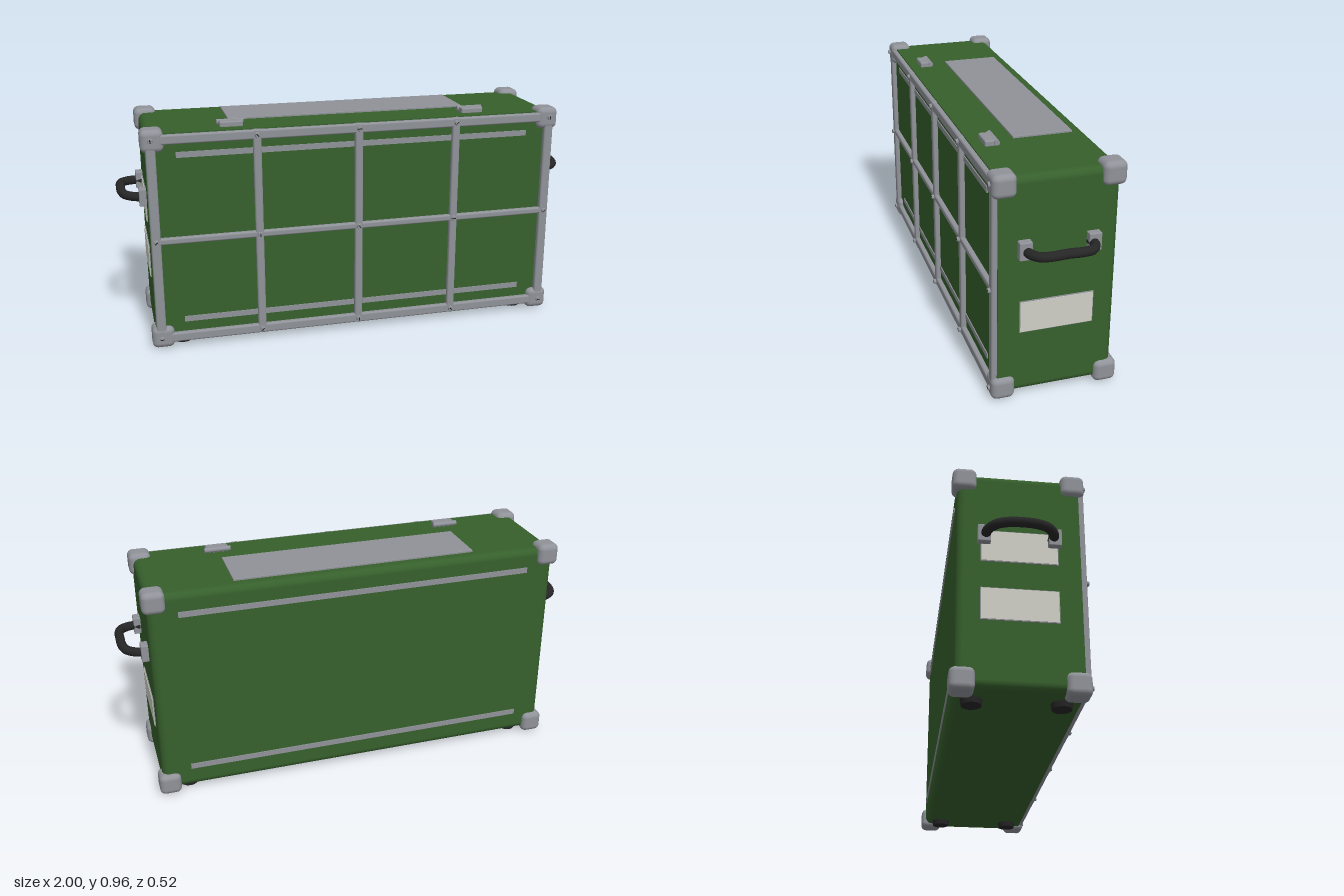
import * as THREE from 'three';
import { RoundedBoxGeometry } from 'three/addons/geometries/RoundedBoxGeometry.js';

const material = (name, color) => {
  const m = new THREE.MeshStandardMaterial({ color });
  m.name = name;
  return m;
};

export function createModel() {
  const green = material('green paint', 0x365f2c);
  const steel = material('grey metal', 0x8f9298);
  const black = material('black rubber', 0x262627);
  const cream = material('label cream', 0xcfcfc6);

  const model = new THREE.Group();
  model.name = 'equipmentCase';

  const add = (name, geometry, mat, x = 0, y = 0, z = 0, parent = model) => {
    const mesh = new THREE.Mesh(geometry, mat);
    mesh.name = name;
    mesh.position.set(x, y, z);
    parent.add(mesh);
    return mesh;
  };
  // Box given by its limits on each axis; r rounds its edges
  const box = (name, mat, [x0, x1], [y0, y1], [z0, z1], r = 0, parent = model) => {
    const s = [x1 - x0, y1 - y0, z1 - z0];
    const g = r ? new RoundedBoxGeometry(...s, 4, r) : new THREE.BoxGeometry(...s);
    return add(name, g, mat, (x0 + x1) / 2, (y0 + y1) / 2, (z0 + z1) / 2, parent);
  };

  // Body: soft edges at the back, a square edge around the front
  box('body', green, [-0.882, 0.882], [0.022, 0.932], [-0.242, 0.19], 0.03);
  const W = 0.882, Y0 = 0.022, Y1 = 0.932, R = 0.03;
  const rim = new THREE.Shape();
  rim.absarc(W - R, Y1 - R, R, 0, Math.PI / 2);
  rim.absarc(-W + R, Y1 - R, R, Math.PI / 2, Math.PI);
  rim.absarc(-W + R, Y0 + R, R, Math.PI, Math.PI * 1.5);
  rim.absarc(W - R, Y0 + R, R, Math.PI * 1.5, Math.PI * 2);
  add('frontPanel', new THREE.ExtrudeGeometry(rim, { depth: 0.09, bevelEnabled: false, curveSegments: 6 }),
    green, 0, 0, 0.14);

  // Front lattice of rounded bars with a screw at each crossing
  const columns = [-0.86, -0.43, 0, 0.43, 0.86];
  const rows = [0.048, 0.48, 0.908];
  const slotTurn = Math.PI / 4;
  for (const x of columns) {
    const h = Math.abs(x) > 0.8 ? 0.02 : 0.017;
    box('verticalBar', steel, [x - h, x + h], [0.028, 0.93], [0.226, 0.252], 0.008);
  }
  for (const y of rows) {
    const h = y === 0.48 ? 0.014 : 0.02;
    box('horizontalBar', steel, [-0.88, 0.88], [y - h, y + h], [0.226, 0.251], 0.008);
  }
  const screwGeometry = new THREE.CylinderGeometry(0.009, 0.012, 0.012, 16).rotateX(Math.PI / 2);
  columns.forEach((x, i) => rows.forEach((y, j) => {
    add('screw', screwGeometry, steel, x, y, 0.256);
    const slot = add('screwSlot', new THREE.BoxGeometry(0.015, 0.004, 0.001), black, x, y, 0.2622);
    slot.rotation.z = slotTurn * (i + j);
  }));

  // Long rub strips on front and back
  for (const y of [0.122, 0.84]) {
    box('frontStrip', steel, [-0.76, 0.76], [y - 0.012, y + 0.012], [0.226, 0.234]);
    box('backStrip', steel, [-0.76, 0.76], [y - 0.012, y + 0.012], [-0.246, -0.238]);
  }

  // Corner guards and feet
  const cornerGeometry = new RoundedBoxGeometry(0.093, 0.094, 0.094, 5, 0.024);
  const footGeometry = new THREE.CylinderGeometry(0.042, 0.038, 0.026, 24);
  for (const side of [-1, 1]) {
    for (const z of [0.207, -0.215]) {
      for (const y of [0.052, 0.903]) add('cornerGuard', cornerGeometry, steel, side * 0.853, y, z);
    }
    for (const z of [0.162, -0.17]) add('foot', footGeometry, black, side * 0.765, 0.013, z);
  }

  // Top plate and the two catches
  box('topPlate', steel, [-0.522, 0.522], [0.928, 0.94], [-0.188, 0.056], 0.002);
  for (const side of [-1, 1]) {
    const catchGroup = new THREE.Group();
    catchGroup.name = 'topCatch';
    catchGroup.position.x = side * 0.525;
    model.add(catchGroup);
    box('catchPlate', steel, [-0.048, 0.048], [0.928, 0.954], [0.138, 0.184], 0.006, catchGroup);
    add('catchBarrel', new THREE.CylinderGeometry(0.011, 0.011, 0.112, 16).rotateZ(Math.PI / 2),
      steel, 0, 0.945, 0.138, catchGroup);
  }

  // End handles: curved grip on two mounting blocks
  for (const side of [-1, 1]) {
    const handle = new THREE.Group();
    handle.name = 'endHandle';
    model.add(handle);
    for (const z of [0.13, -0.14]) {
      const c = side * 0.892;
      box('handleMount', steel, [c - 0.02, c + 0.02], [0.61, 0.683], [z - 0.025, z + 0.025], 0.004, handle);
    }
    const path = new THREE.CatmullRomCurve3([
      [0.885, 0.643, 0.122], [0.925, 0.645, 0.122], [0.965, 0.648, 0.095], [0.979, 0.652, 0.055],
      [0.981, 0.655, -0.005],
      [0.979, 0.652, -0.065], [0.965, 0.648, -0.105], [0.925, 0.645, -0.132], [0.885, 0.643, -0.132],
    ].map(([x, y, z]) => new THREE.Vector3(side * x, y, z)));
    add('handleGrip', new THREE.TubeGeometry(path, 48, 0.019, 14), black, 0, 0, 0, handle);
  }

  // Label plates on the ends; the right end carries two
  for (const [side, y] of [[1, 0.358], [-1, 0.358], [-1, 0.605]]) {
    const c = side * 0.883;
    box('labelBorder', steel, [c - 0.003, c + 0.003], [y - 0.067, y + 0.067], [-0.152, 0.144]);
    const f = side * 0.885;
    box('label', cream, [f - 0.003, f + 0.003], [y - 0.064, y + 0.064], [-0.149, 0.141]);
  }

  return model;
}
